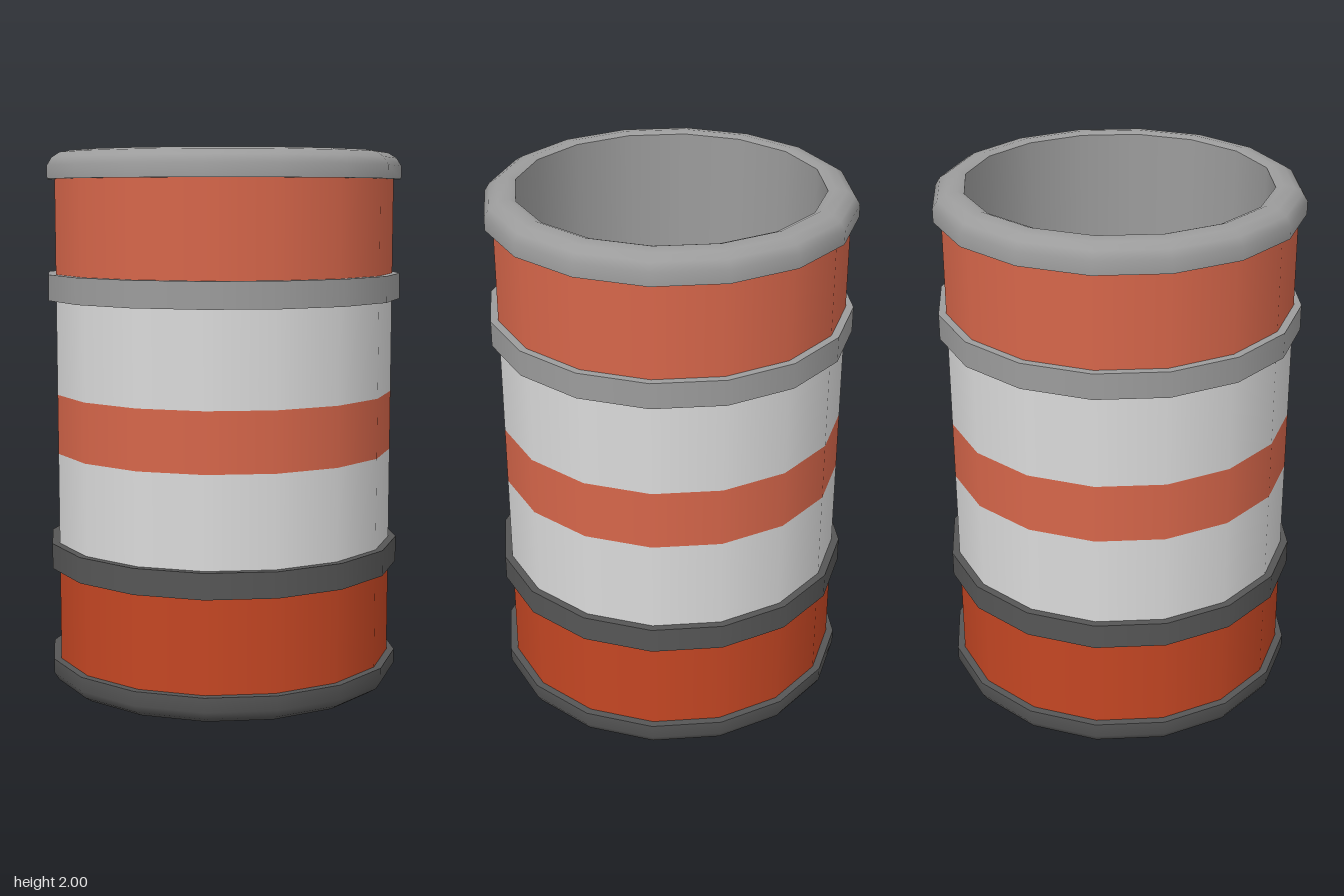
import * as THREE from 'three';
import { mergeGeometries } from 'three/addons/utils/BufferGeometryUtils.js';

const SIDES = 16;
const R = 0.635; // drum wall
const RING = 0.663; // raised rings
const BORE = 0.55; // opening

const paint = (name, color) => {
  const m = new THREE.MeshStandardMaterial({ color });
  m.name = name;
  return m;
};

// Revolves several profile runs; normals stay sharp where one run meets the next.
// Runs go up the outside, inward over the top and down the inside.
function revolve(...runs) {
  return mergeGeometries(runs.map((run) =>
    new THREE.LatheGeometry(run.map(([r, y]) => new THREE.Vector2(r, y)), SIDES)));
}

export function createModel() {
  const orange = paint('lightOrange', 0xd6664a);
  const deepOrange = paint('deepOrange', 0xc44623);
  const white = paint('offWhite', 0xdadada);
  const grey = paint('grey', 0x9c9c9c);
  const dark = paint('darkGrey', 0x565656);

  const group = new THREE.Group();
  group.name = 'trafficDrum';
  const add = (name, geometry, material) => {
    const mesh = new THREE.Mesh(geometry, material);
    mesh.name = name;
    group.add(mesh);
    return mesh;
  };

  // Painted bands of the wall
  const bands = [
    ['bottomBand', 0.08, 0.5, deepOrange],
    ['lowerWhiteBand', 0.5, 0.89, white],
    ['middleBand', 0.89, 1.11, orange],
    ['upperWhiteBand', 1.11, 1.5, white],
    ['topBand', 1.5, 1.92, orange],
  ];
  for (const [name, y0, y1, material] of bands) {
    add(name, revolve([[R, y0], [R, y1]]), material);
  }

  // Raised hoops
  for (const [name, y0, y1, material] of [
    ['lowerHoop', 0.457, 0.552, dark],
    ['upperHoop', 1.457, 1.552, grey],
  ]) {
    add(name, revolve(
      [[R - 0.01, y0], [RING, y0]],
      [[RING, y0], [RING, y1]],
      [[RING, y1], [R - 0.01, y1]],
    ), material);
  }

  // Rounded top rim
  add('topRim', revolve(
    [[R - 0.01, 1.897], [RING, 1.897]],
    [[RING, 1.897], [RING, 1.945], [0.645, 1.974], [0.615, 1.993], [0.575, 2], [BORE, 1.99]],
  ), grey);

  // Rounded base rim, with a shallow recess underneath
  add('baseRim', revolve(
    [[BORE, 0.035], [BORE, 0.01]],
    [[BORE, 0.01], [0.575, 0], [0.615, 0.007], [0.645, 0.026], [RING, 0.055], [RING, 0.108]],
    [[RING, 0.108], [R - 0.01, 0.108]],
  ), dark);

  // Hollow inside and its floor
  add('innerWall', revolve([[BORE, 1.99], [BORE, 0.035]]), grey);
  add('floor', revolve(
    [[BORE, 0.045], [0, 0.045]],
    [[0, 0.035], [BORE, 0.035]],
  ), dark);

  return group;
}
